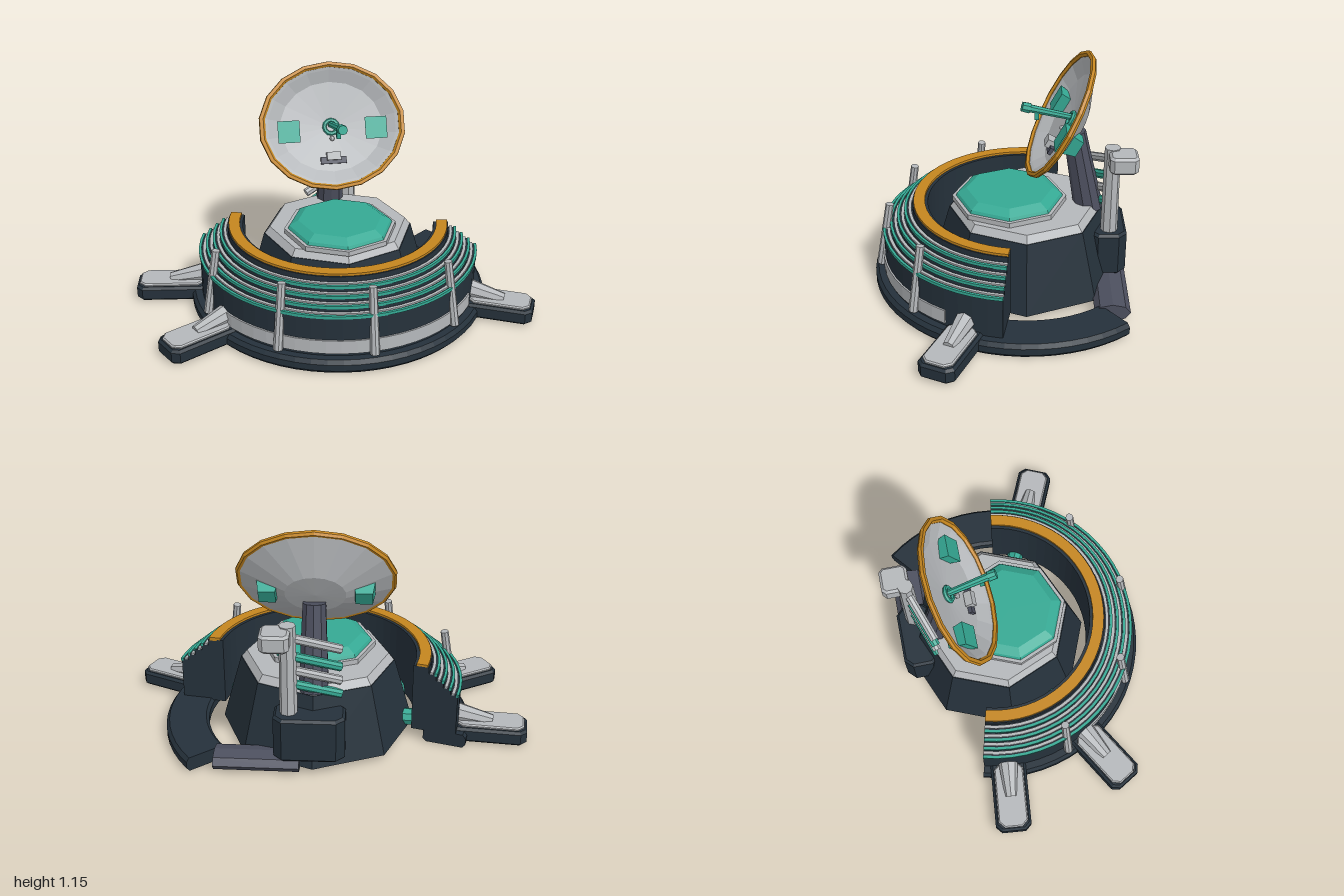
import * as THREE from 'three';

const mat = (name, color) => {
  const m = new THREE.MeshStandardMaterial({ color });
  m.name = name;
  m.flatShading = true;
  return m;
};
const V = (x, y, z) => new THREE.Vector3(x, y, z);
const rad = THREE.MathUtils.degToRad;

export function createModel() {
  const dark = mat('dark hull', 0x25313b);
  const light = mat('light grey', 0xb5b8bb);
  const slate = mat('slate', 0x4c4f5e);
  const teal = mat('teal', 0x35a994);
  const gold = mat('gold', 0xc5861f);

  const model = new THREE.Group();
  model.name = 'dishStation';
  // everything round is laid out about the centre of the drum
  const site = new THREE.Group();
  site.name = 'site';
  site.position.set(0.04, 0, -0.12);
  model.add(site);

  const add = (parent, name, geo, material, x = 0, y = 0, z = 0) => {
    const m = new THREE.Mesh(geo, material);
    m.name = name;
    m.position.set(x, y, z);
    parent.add(m);
    return m;
  };
  const shapeOf = pts => new THREE.Shape(pts.map(p => new THREE.Vector2(...p)));

  // sweeps a closed (radius, y) profile around the y axis, angles from +x to +z
  const arc = (name, profile, a0, a1, material) => {
    const steps = Math.ceil((a1 - a0) / 6);
    const g = new THREE.ExtrudeGeometry(shapeOf(profile), { depth: 1, steps, bevelEnabled: false });
    const p = g.attributes.position;
    for (let i = 0; i < p.count; i++) {
      const a = rad(a0 + (a1 - a0) * p.getZ(i)), r = p.getX(i);
      p.setXYZ(i, r * Math.cos(a), p.getY(i), r * Math.sin(a));
    }
    g.computeVertexNormals();
    return add(site, name, g, material);
  };
  const band = (name, r0, r1, y0, y1, a0, a1, material) =>
    arc(name, [[r0, y0], [r1, y0], [r1, y1], [r0, y1]], a0, a1, material);

  // tapered cylinder between two points
  const rod = (parent, name, a, b, r0, r1, material, sides = 8) => {
    const d = b.clone().sub(a);
    const m = add(parent, name, new THREE.CylinderGeometry(r1, r0, d.length(), sides), material);
    m.position.copy(a).addScaledVector(d, 0.5);
    m.quaternion.setFromUnitVectors(V(0, 1, 0), d.normalize());
    return m;
  };

  // flat plate with clipped corners and a small bevel, lying in xz
  const plate = (parent, name, x0, x1, z0, z1, y0, y1, c, material) => {
    const b = Math.min(0.012, (y1 - y0) / 3);
    const s = shapeOf([[x0 + c, z0], [x1 - c, z0], [x1, z0 + c], [x1, z1 - c],
      [x1 - c, z1], [x0 + c, z1], [x0, z1 - c], [x0, z0 + c]]);
    const g = new THREE.ExtrudeGeometry(s, {
      depth: y1 - y0 - 2 * b, bevelSize: b, bevelThickness: b, bevelOffset: -b, bevelSegments: 1 });
    g.rotateX(Math.PI / 2);
    return add(parent, name, g, material, 0, y1 - b, 0);
  };

  // ground ring and the wall with its terraces
  arc('baseRing', [[0.54, 0.015], [0.555, 0], [0.735, 0], [0.75, 0.018], [0.75, 0.05],
    [0.735, 0.07], [0.555, 0.07], [0.54, 0.055]], -39, 196, dark);
  const A0 = 9, A1 = 196, N = 5;
  const stepR = i => 0.70 - 0.036 * i, stepY = i => 0.28 + 0.0315 * i;
  const profile = [[0.48, 0.06], [0.70, 0.06]];
  for (let i = 0; i < N; i++) profile.push([stepR(i), stepY(i)], [stepR(i + 1), stepY(i)]);
  profile.splice(-1, 1, [0.48, stepY(N - 1)]);
  arc('terracedWall', profile, A0, A1, dark);
  for (let i = 0; i < N - 1; i++) {
    const r = stepR(i), y = stepY(i);
    band('terraceNosing', r - 0.008, r + 0.005, y - 0.01, y + 0.005, A0, A1, teal);
    band('terraceTread', r - 0.03, r - 0.015, y - 0.002, y + 0.008, A0, A1, light);
  }
  band('goldRail', 0.495, 0.55, 0.40, 0.418, A0, A1, gold);
  band('wallSkirt', 0.69, 0.708, 0.085, 0.155, 32, 150, light);

  // slanted posts leaning on the wall
  for (const a of [47, 84.5, 121, 160]) {
    const c = Math.cos(rad(a)), s = Math.sin(rad(a));
    rod(site, 'wallPost', V(0.72 * c, 0.08, 0.72 * s), V(0.665 * c, 0.41, 0.665 * s), 0.023, 0.02, light);
  }

  // outrigger legs, each with a teal coupling inside the wall
  for (const [a, tip] of [[24, 1.01], [150, 1.03], [186, 1.03]]) {
    const leg = new THREE.Group();
    leg.name = 'outrigger';
    leg.rotation.y = -rad(a);
    site.add(leg);
    plate(leg, 'outriggerFoot', 0.66, tip, -0.09, 0.09, 0.008, 0.083, 0.03, dark);
    plate(leg, 'outriggerCover', 0.69, tip - 0.015, -0.074, 0.074, 0.08, 0.098, 0.03, light);
    rod(leg, 'outriggerStrut', V(0.68, 0.125, 0), V(0.86, 0.09, 0), 0.05, 0.03, light);
    rod(leg, 'coupling', V(0.42, 0.075, 0), V(0.56, 0.075, 0), 0.042, 0.042, teal);
  }

  // central octagonal drum, cap and domed hatch
  const oct = (name, r0, r1, y0, y1, material, z = 0) =>
    add(site, name, new THREE.CylinderGeometry(r1, r0, y1 - y0, 8), material, 0, (y0 + y1) / 2, z);
  oct('drum', 0.47, 0.375, 0.03, 0.365, dark);
  oct('drumCap', 0.375, 0.345, 0.36, 0.40, light);
  oct('hatchPlate', 0.28, 0.28, 0.40, 0.425, light, 0.08);
  oct('hatchRim', 0.265, 0.255, 0.42, 0.44, teal, 0.08);
  oct('hatchDome', 0.255, 0.21, 0.44, 0.466, teal, 0.08);

  // rear housing and low connecting duct
  plate(model, 'rearHousing', -0.11, 0.22, -0.61, -0.43, 0.08, 0.30, 0.04, dark);
  const duct = rod(model, 'duct', V(0.1, 0.046, -0.53), V(0.5, 0.046, -0.525), 0.085, 0.085, slate);
  duct.scale.x = 0.52;

  // mast, service post and cross pipes
  rod(model, 'mast', V(0.04, 0.36, -0.43), V(0.04, 0.77, -0.35), 0.072, 0.055, slate, 10);
  rod(model, 'servicePost', V(0.15, 0.28, -0.525), V(0.15, 0.74, -0.525), 0.042, 0.038, light);
  plate(model, 'serviceBox', 0.135, 0.27, -0.64, -0.505, 0.65, 0.735, 0.02, light);
  [[0.68, light], [0.59, teal], [0.52, light], [0.45, teal]].forEach(([y, m]) =>
    rod(model, 'crossPipe', V(0.15, y, -0.525), V(-0.085, y - 0.1, -0.435), 0.022, 0.022, m));

  // dish, built facing +y and then tilted to look forward and up
  const dish = new THREE.Group();
  dish.name = 'dish';
  dish.position.set(0.035, 0.863, -0.275);
  dish.rotation.x = 1.073;
  model.add(dish);
  const lathe = (name, pts, material) => {
    const g = new THREE.LatheGeometry(pts.map(p => new THREE.Vector2(...p)), 18);
    g.scale(1, 1, 0.872);
    return add(dish, name, g, material);
  };
  lathe('dishShell', [[0, -0.105], [0.14, -0.1], [0.36, -0.012], [0.345, -0.003],
    [0.325, -0.012], [0.26, -0.05], [0, -0.075]], light);
  lathe('dishRim', [[0.34, -0.015], [0.362, -0.018], [0.371, -0.006], [0.368, 0.008],
    [0.35, 0.01], [0.34, -0.002], [0.34, -0.015]], gold);

  // teal pods passing through the dish on both sides
  for (const s of [-1, 1]) {
    const pod = add(dish, 'dishPod', new THREE.CylinderGeometry(0.078, 0.055, 0.1, 4, 1), teal,
      s * 0.22, -0.055, 0.02);
    pod.geometry.rotateY(Math.PI / 4);
  }

  // feed arm with collar and tab, and a small sensor on the dish floor
  const collar = add(dish, 'feedCollar', new THREE.TorusGeometry(0.034, 0.011, 6, 12), teal, 0, -0.062, 0);
  collar.rotation.x = Math.PI / 2;
  rod(model, 'feedArm', V(0.035, 0.845, -0.33), V(0.06, 0.903, -0.12), 0.016, 0.02, teal);
  rod(model, 'feedTip', V(0.058, 0.899, -0.135), V(0.061, 0.909, -0.098), 0.026, 0.024, teal);
  add(model, 'feedTab', new THREE.BoxGeometry(0.022, 0.055, 0.022), teal, 0.05, 0.867, -0.168);
  add(dish, 'sensorBase', new THREE.BoxGeometry(0.13, 0.025, 0.035), slate, 0, -0.05, 0.17);
  add(dish, 'sensorHead', new THREE.BoxGeometry(0.07, 0.04, 0.04), light, 0, -0.035, 0.15);
  add(dish, 'sensorBead', new THREE.SphereGeometry(0.013, 8, 6), light, 0, -0.05, 0.06);

  return model;
}
